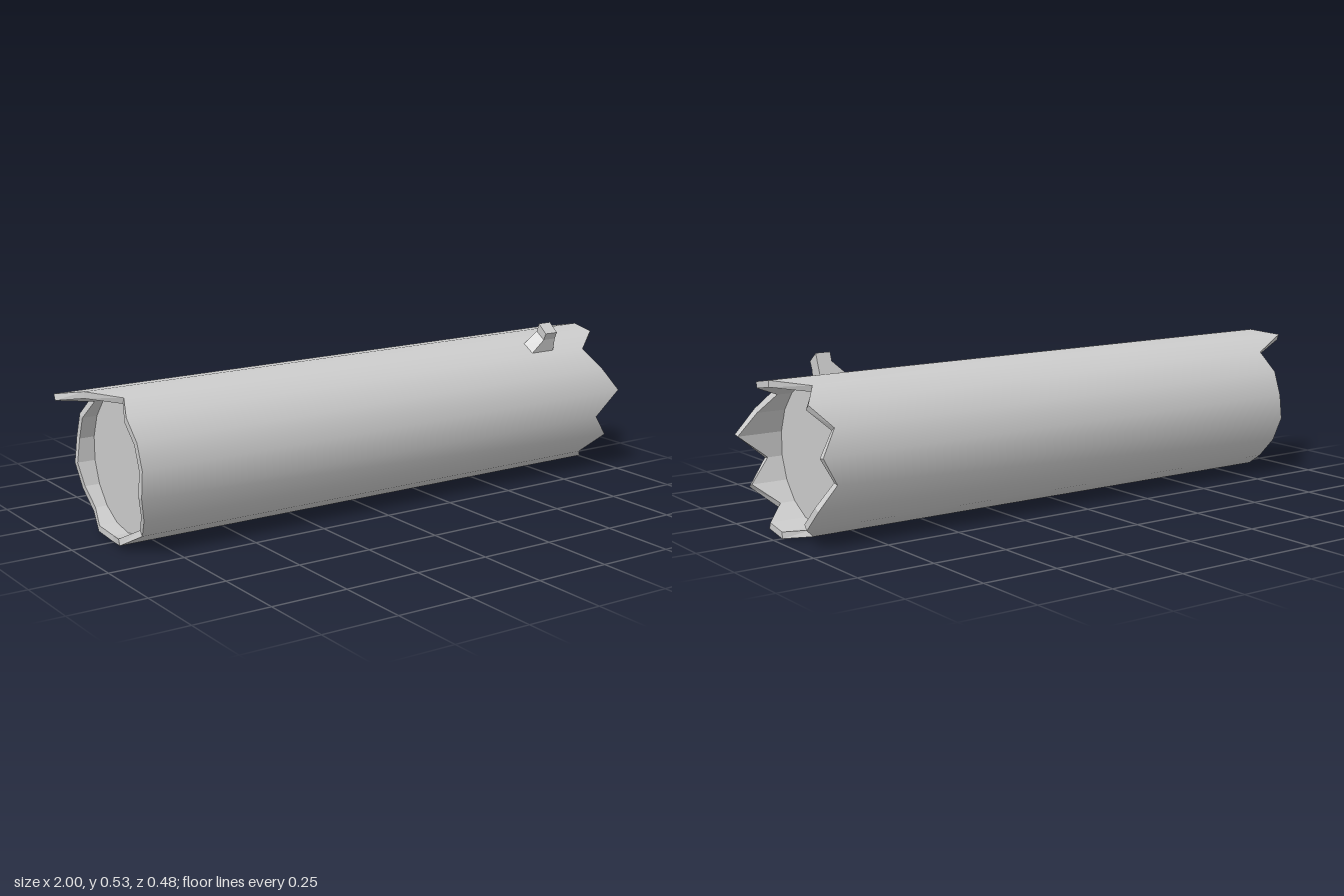
import * as THREE from 'three';
import { toCreasedNormals } from 'three/addons/utils/BufferGeometryUtils.js';

const SIDES = 18, CY = 0.243, OUTER = 0.243, INNER = 0.222;

// x of each broken tip, starting at the top and turning towards the front
const TIPS_LEFT = [1, 1, 0.9, 0.945, 1, 0.9, 0.97, 0.9, 0.97, 0.97, 0.91, 0.97, 0.96, 0.91, 0.955, 0.9, 0.955, 0.9];
const TIPS_RIGHT = [-0.94, -0.85, -0.88, -0.875, -0.875, -0.88, -0.86, -0.84, -0.88, -0.86, -0.87, -0.85, -0.86, -0.87, -0.86, -0.86, -0.84, -1];
const FLOOR_LEFT = 0.85, FLOOR_RIGHT = -0.81;

// Ring of points around the log; x is a number or one value per point
function ring(radius, x) {
  return Array.from({ length: SIDES }, (_, k) => {
    const a = (k / SIDES) * Math.PI * 2;
    return [Array.isArray(x) ? x[k] : x, CY + radius * Math.cos(a), radius * Math.sin(a)];
  });
}

// Closed skin through successive rings, flat shaded
function skin(...rings) {
  const pos = [];
  for (let r = 0; r < rings.length - 1; r++) {
    const A = rings[r], B = rings[r + 1], n = A.length;
    for (let k = 0; k < n; k++) {
      const j = (k + 1) % n;
      pos.push(...A[k], ...A[j], ...B[j], ...A[k], ...B[j], ...B[k]);
    }
  }
  const g = new THREE.BufferGeometry();
  g.setAttribute('position', new THREE.Float32BufferAttribute(pos, 3));
  g.computeVertexNormals();
  return g;
}

export function createModel() {
  const model = new THREE.Group();
  model.name = 'hollowLog';
  const material = new THREE.MeshStandardMaterial({ color: 0xcccccc });
  const add = (name, geometry) => {
    const mesh = new THREE.Mesh(geometry, material);
    mesh.name = name;
    model.add(mesh);
    return mesh;
  };

  // Bark: smooth outside with jagged ends
  const outerL = ring(OUTER, TIPS_LEFT), outerR = ring(OUTER, TIPS_RIGHT);
  add('bark', toCreasedNormals(skin(outerR, outerL), Math.PI / 6));

  // Broken rims and the hollow walls behind them
  const innerL = ring(INNER, TIPS_LEFT), innerR = ring(INNER, TIPS_RIGHT);
  add('leftRim', skin(outerL, innerL));
  add('rightRim', skin(innerR, outerR));
  add('leftHollow', skin(innerL, ring(INNER, FLOOR_LEFT)));
  add('rightHollow', skin(ring(INNER, FLOOR_RIGHT), innerR));

  // Flat discs closing each hollow
  for (const [name, x, turn] of [['leftCore', FLOOR_LEFT, 1], ['rightCore', FLOOR_RIGHT, -1]]) {
    const disc = add(name, new THREE.CircleGeometry(INNER, SIDES, Math.PI / 2));
    disc.rotation.y = turn * Math.PI / 2;
    disc.position.set(x, CY, 0);
  }

  // Branch stub: flared foot, then a short square tip
  const level = (x0, x1, yOut, zOut, yIn, zIn) =>
    [[x0, yOut, zOut], [x1, yOut, zOut], [x1, yIn, zIn], [x0, yIn, zIn]];
  const tip = level(0.725, 0.775, 0.503, 0.16, 0.533, 0.122);
  const tipCentre = Array(4).fill([0.75, 0.518, 0.141]);
  add('branchStub', skin(
    level(0.675, 0.775, 0.43, 0.141, 0.457, 0.095),
    level(0.725, 0.775, 0.48, 0.15, 0.505, 0.112),
    tip, tipCentre));

  return model;
}
